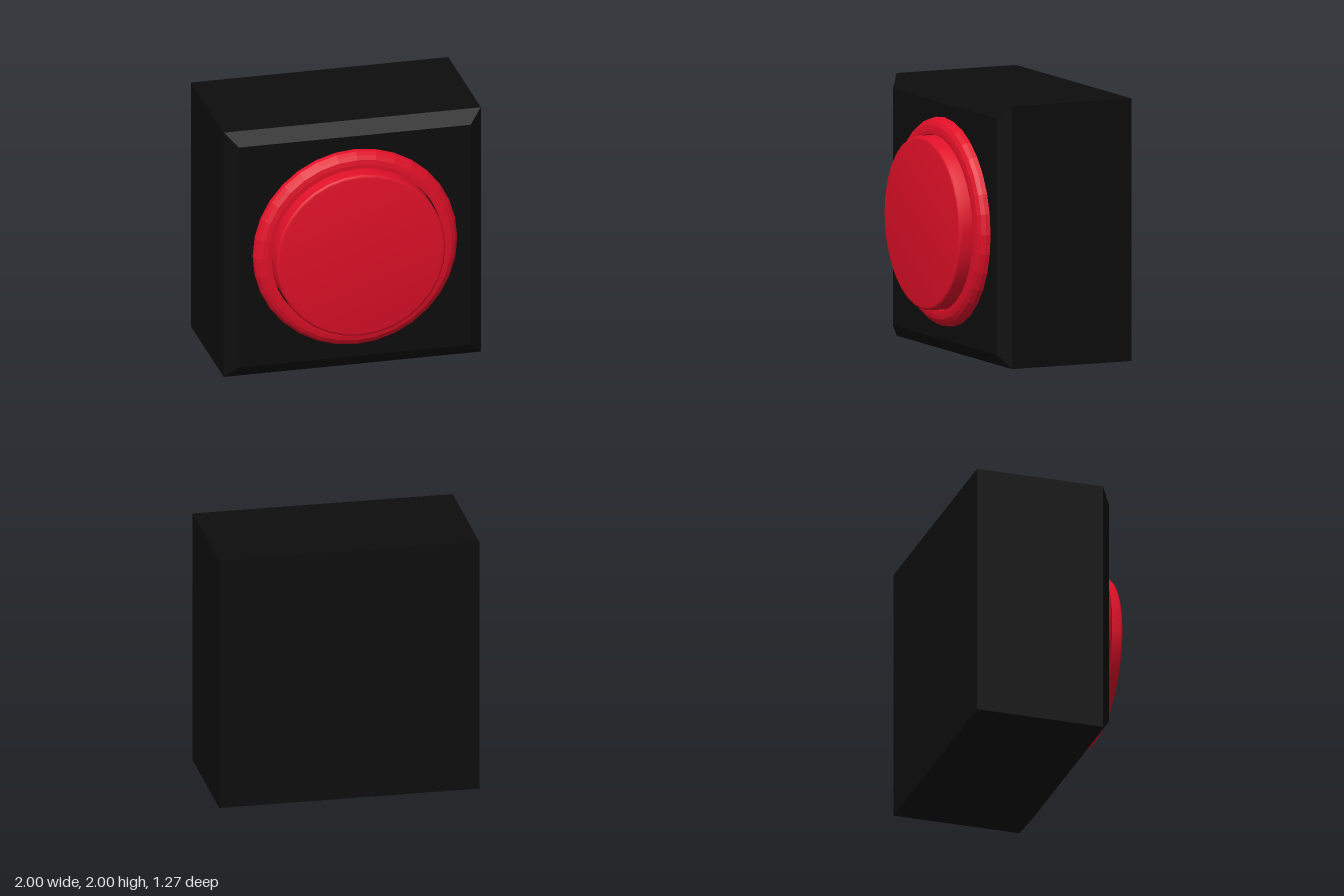
import * as THREE from 'three';
import { toCreasedNormals } from 'three/addons/utils/BufferGeometryUtils.js';

const black = new THREE.MeshStandardMaterial({ color: 0x0d0d0d, flatShading: true });
const redFlat = new THREE.MeshStandardMaterial({ color: 0xe01028, flatShading: true });
const redSmooth = new THREE.MeshStandardMaterial({ color: 0xe01028 });

// Turns a [radius, z] profile about the forward axis at mid height
function turned(name, profile, sides, material, startAngle = 0) {
  const points = profile.map(([r, z]) => new THREE.Vector2(r, z));
  let geometry = new THREE.LatheGeometry(points, sides, startAngle);
  geometry.rotateX(Math.PI / 2);
  if (!material.flatShading) geometry = toCreasedNormals(geometry, Math.PI / 5);
  const mesh = new THREE.Mesh(geometry, material);
  mesh.name = name;
  mesh.position.y = 1;
  return mesh;
}

// Quarter-round from the side wall to the front face
function roundOver(radius, front, rx, rz, steps) {
  return Array.from({ length: steps + 1 }, (_, i) => {
    const a = (i / steps) * Math.PI / 2;
    return [radius - rx + rx * Math.cos(a), front - rz + rz * Math.sin(a)];
  });
}

export function createModel() {
  const model = new THREE.Group();
  model.name = 'pushButton';

  // Square housing with a chamfered front: a four-sided turning
  const d = Math.SQRT2;
  model.add(turned('housing', [
    [0, -0.64], [d, -0.64], [d, 0.36], [0.9 * d, 0.44], [0, 0.44],
  ], 4, black, Math.PI / 4));

  // Faceted collar around the button, with an open centre
  model.add(turned('collar', [
    [0.795, 0.43], ...roundOver(0.795, 0.528, 0.095, 0.088, 4),
    [0.67, 0.528], [0.67, 0.43],
  ], 32, redFlat));

  // Smooth raised plunger with a small rounded rim
  model.add(turned('plunger', [
    [0.66, 0.43], ...roundOver(0.66, 0.635, 0.025, 0.025, 4), [0, 0.635],
  ], 32, redSmooth));

  return model;
}
